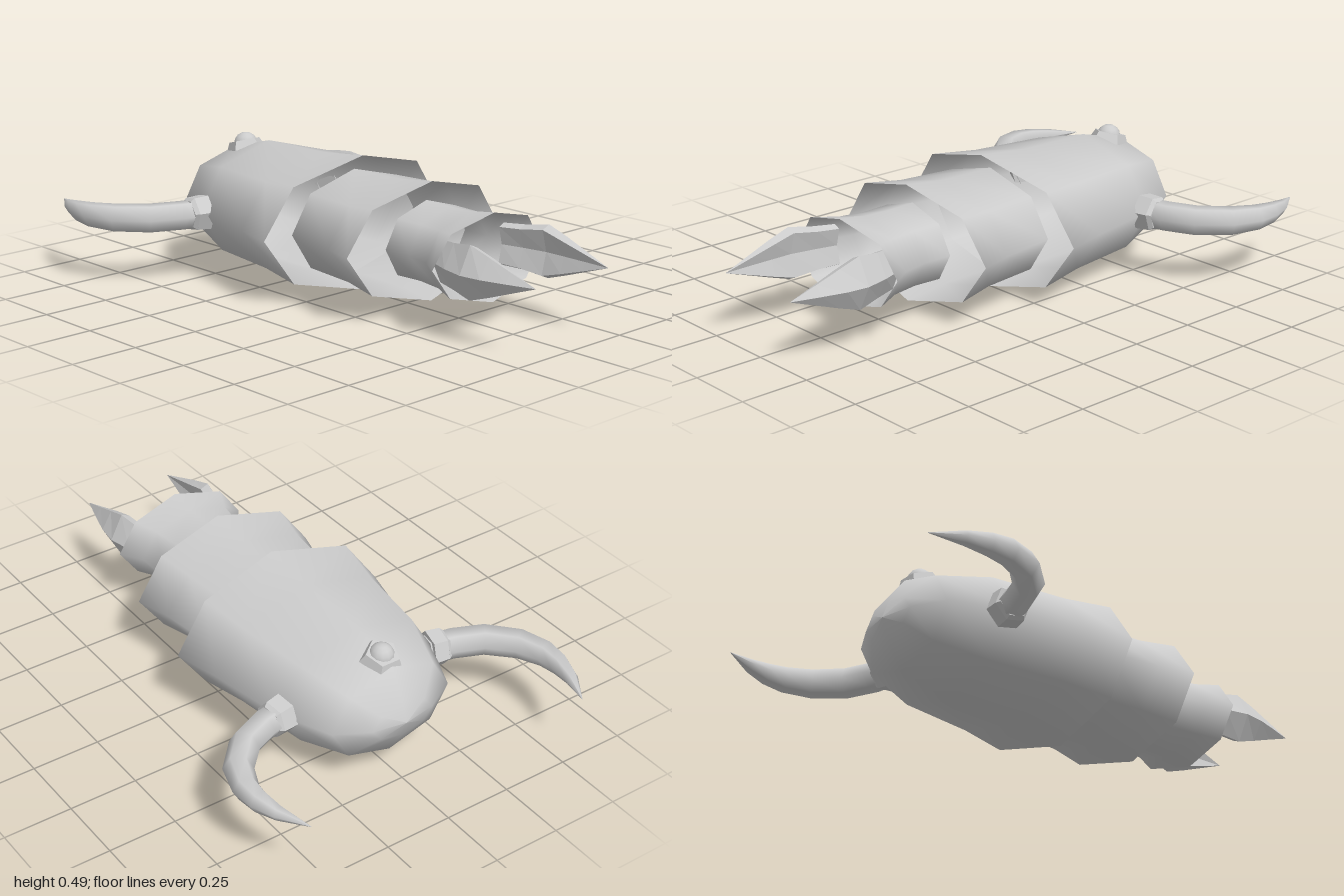
import * as THREE from 'three';

const MID = 0.246; // height of the body axis
const material = new THREE.MeshStandardMaterial({ color: 0xcccccc, side: THREE.DoubleSide });
const V = (x, y, z) => new THREE.Vector3(x, y, z);

// Skins a list of closed rings, each counter-clockwise about the direction of travel
function loft(name, rings, flat = false) {
  const n = rings[0].length;
  const points = rings.flat().flatMap((p) => [p.x, p.y, p.z]);
  const index = [];
  for (let i = 0; i < rings.length - 1; i++) {
    for (let j = 0; j < n; j++) {
      const a = i * n + j, b = i * n + (j + 1) % n;
      index.push(a, b, b + n, a, b + n, a + n);
    }
  }
  let geometry = new THREE.BufferGeometry();
  geometry.setAttribute('position', new THREE.Float32BufferAttribute(points, 3));
  geometry.setIndex(index);
  if (flat) geometry = geometry.toNonIndexed();
  geometry.computeVertexNormals();
  const mesh = new THREE.Mesh(geometry, material);
  mesh.name = name;
  return mesh;
}

const mirrorRings = (rings) => rings.map((r) => r.map((p) => V(-p.x, p.y, p.z)).reverse());

// Eight-sided hollow shell; sections are [z, half width, half height, sweep back at the sides]
function shell(name, sections) {
  return loft(name, sections.map(([z, a, b, sweep = 0]) =>
    Array.from({ length: 8 }, (_, j) => {
      const t = (j * Math.PI) / 4;
      const c = Math.cos(t), s = Math.sin(t);
      return V(a * c, MID + b * s, z - sweep * Math.abs(c));
    })));
}

// Tapering six-sided horn swept along a flat path of [x, z, radius]
function hornRings(path) {
  const pts = path.map(([x, z]) => V(x, MID, z));
  const up = V(0, 1, 0);
  return path.map(([, , r], i) => {
    const from = pts[Math.max(i - 1, 0)], to = pts[Math.min(i + 1, pts.length - 1)];
    const side = up.clone().cross(to.clone().sub(from).normalize());
    return Array.from({ length: 6 }, (_, j) => {
      const t = (j * Math.PI) / 3;
      return pts[i].clone().addScaledVector(side, r * Math.cos(t)).addScaledVector(up, r * Math.sin(t));
    });
  });
}

// Blade section with a hollow inner face; sections are [z, outer x, inner x, half height]
function pincerRings(sections) {
  return sections.map(([z, outer, inner, h]) => {
    const w = outer - inner;
    return [
      V(outer, MID, z), V(inner + w * 0.4, MID + h, z), V(inner, MID + h * 0.85, z),
      V(inner + w * 0.25, MID, z),
      V(inner, MID - h * 0.85, z), V(inner + w * 0.4, MID - h, z),
    ];
  });
}

// Faceted collar whose axis points along dir
function collar(name, sides, rTop, rBottom, height, position, dir, spin = 0) {
  const geometry = new THREE.CylinderGeometry(rTop, rBottom, height, sides).toNonIndexed();
  geometry.rotateY(spin);
  geometry.computeVertexNormals();
  const mesh = new THREE.Mesh(geometry, material);
  mesh.name = name;
  mesh.position.copy(position);
  mesh.quaternion.setFromUnitVectors(V(0, 1, 0), dir.clone().normalize());
  return mesh;
}

export function createModel() {
  const model = new THREE.Group();
  model.name = 'hornedSegmentedCreature';

  // Three nested, flaring shells
  model.add(
    shell('headShell', [
      [-0.763, 0.001, 0.001], [-0.74, 0.125, 0.065], [-0.675, 0.243, 0.17],
      [-0.48, 0.328, 0.221], [-0.19, 0.383, 0.224], [0.025, 0.425, 0.246, 0.045],
    ]),
    shell('middleShell', [
      [-0.02, 0.297, 0.19], [0.2, 0.33, 0.192], [0.368, 0.366, 0.212, 0.036],
    ]),
    shell('tailShell', [
      [0.34, 0.194, 0.141], [0.45, 0.192, 0.138], [0.55, 0.213, 0.141], [0.657, 0.265, 0.155, 0.027],
    ]),
  );

  // Horns with hexagonal collars, and tail pincers, on both sides
  const horn = hornRings([
    [0.3, -0.485, 0.053], [0.4, -0.505, 0.054], [0.505, -0.55, 0.054], [0.59, -0.64, 0.052],
    [0.625, -0.735, 0.046], [0.625, -0.81, 0.038], [0.607, -0.89, 0.025], [0.56, -1, 0.001],
  ]);
  const pincer = pincerRings([
    [0.56, 0.19, 0.13, 0.075], [0.64, 0.22, 0.145, 0.08], [0.73, 0.241, 0.16, 0.094],
    [0.81, 0.232, 0.163, 0.068], [0.9, 0.208, 0.17, 0.036], [1, 0.178, 0.177, 0.001],
  ]);
  for (const [label, side] of [['left', 1], ['right', -1]]) {
    const place = (rings) => (side > 0 ? rings : mirrorRings(rings));
    const dir = V(side * 0.98, 0, -0.17);
    model.add(
      loft(label + 'Horn', place(horn)),
      loft(label + 'Pincer', place(pincer), true),
      collar(label + 'HornCollar', 6, 0.066, 0.07, 0.055, V(side * 0.332, MID, -0.49), dir),
      collar(label + 'HornCollarLip', 6, 0.054, 0.066, 0.014, V(side * 0.366, MID, -0.496), dir),
    );
  }

  // Single eye in a five-sided socket on the sloping brow
  const brow = V(0, 0.96, -0.27);
  model.add(collar('eyeSocket', 5, 0.06, 0.076, 0.034, V(0, 0.43, -0.615), brow));
  const eye = new THREE.Mesh(new THREE.SphereGeometry(0.045, 12, 8), material);
  eye.name = 'eye';
  eye.position.set(0, 0.433, -0.613);
  model.add(eye);
  return model;
}
